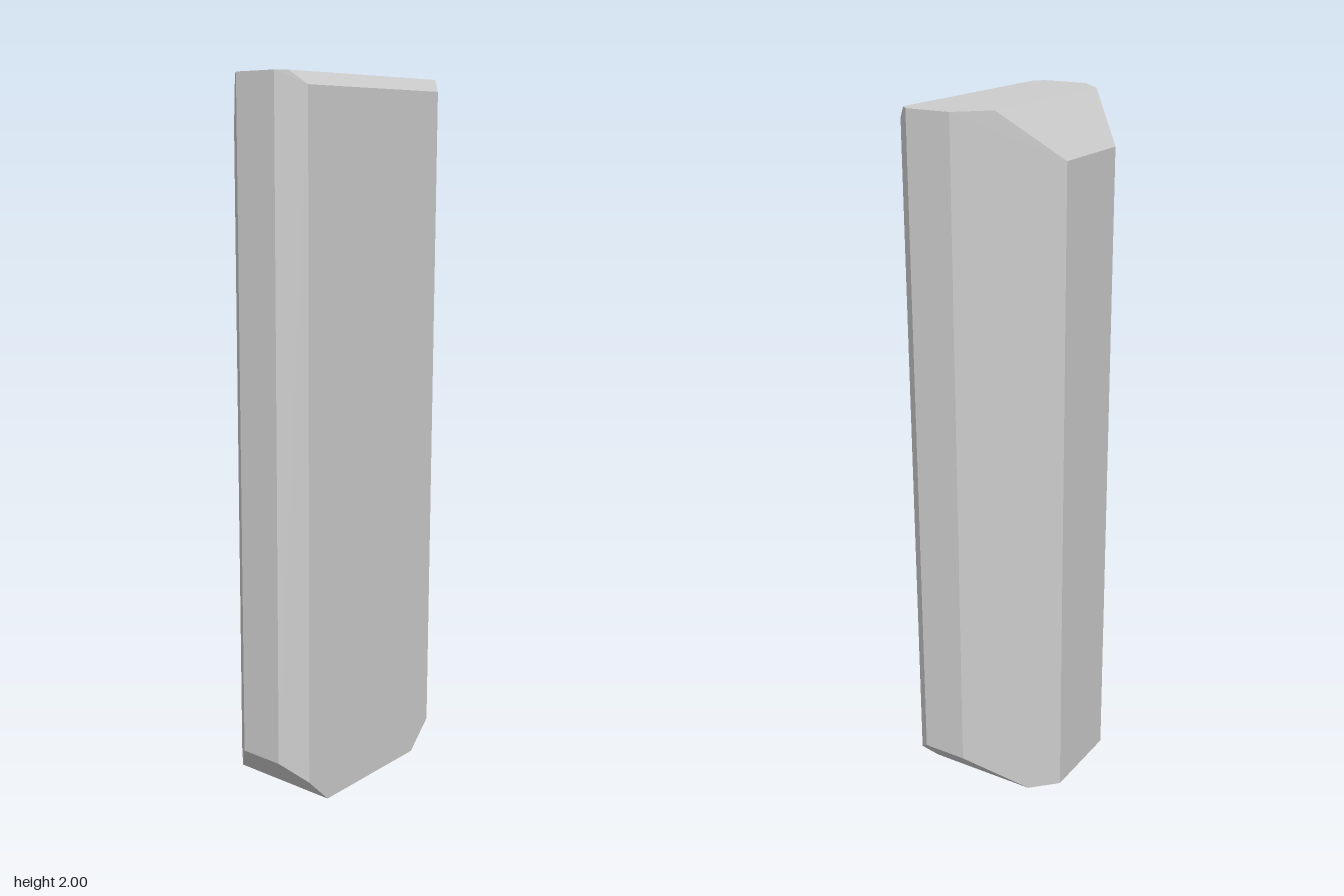
import * as THREE from 'three';
import { ConvexGeometry } from 'three/addons/geometries/ConvexGeometry.js';

export function createModel() {
  const group = new THREE.Group();
  group.name = 'chamferedBlock';

  // Corners [x, y, z] of the front half; all bevels are cut at 45 degrees.
  const corners = [
    // flat base
    [-0.2, 0, 0.13], [-0.13, 0, 0.2], [0.2, 0, 0.2],
    // upper edge of the sloped foot
    [0.01, 0.14, 0.34], [0.14, 0.14, 0.34], [0.2, 0.08, 0.28],
    // lower edges of the two top bevels
    [-0.2, 1.87, 0.13], [0.2, 1.965, 0.28],
    // flat top
    [-0.07, 2, 0.26], [0.01, 2, 0.34], [0.14, 2, 0.34], [0.165, 2, 0.315],
  ];

  // Mirror front to back and wrap the corners in flat faces
  const points = [];
  for (const [x, y, z] of corners) {
    for (const side of [1, -1]) points.push(new THREE.Vector3(x, y, side * z));
  }

  const block = new THREE.Mesh(
    new ConvexGeometry(points),
    new THREE.MeshStandardMaterial({ color: 0xcccccc, flatShading: true })
  );
  block.name = 'block';
  group.add(block);
  return group;
}
